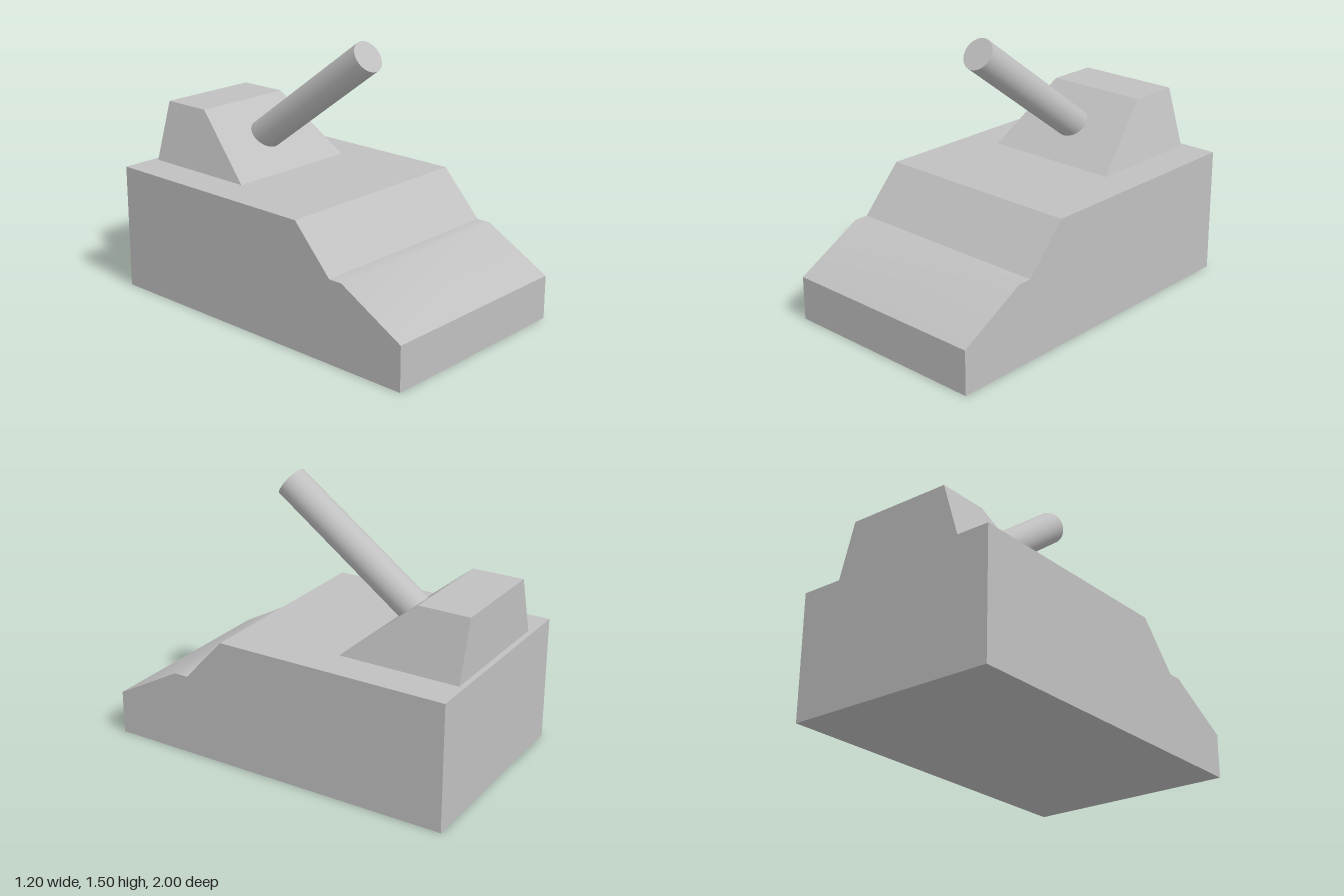
import * as THREE from 'three';
import { toCreasedNormals } from 'three/addons/utils/BufferGeometryUtils.js';

export function createModel() {
  const model = new THREE.Group();
  const grey = new THREE.MeshStandardMaterial({ color: 0xc0c0c0 });
  grey.name = 'plainGrey';

  const add = (name, geometry) => {
    const mesh = new THREE.Mesh(geometry, grey);
    mesh.name = name;
    model.add(mesh);
    return mesh;
  };

  // Hull: side profile (z, y) extruded across the width
  const profile = [[-1, 0], [1, 0], [1, 0.245], [0.62, 0.455], [0.54, 0.455], [0.31, 0.705], [-1, 0.705]];
  const shape = new THREE.Shape(profile.map(([z, y]) => new THREE.Vector2(z, y)));
  const hull = new THREE.ExtrudeGeometry(shape, { depth: 1.2, bevelEnabled: false });
  hull.rotateY(-Math.PI / 2).translate(0.6, 0, 0);
  // The shallow bend between nose slope and ledge is smooth, other edges are sharp
  add('hull', toCreasedNormals(hull, THREE.MathUtils.degToRad(35)));

  // Turret: a box whose top is narrower and whose front leans back
  const turret = new THREE.BoxGeometry(1, 1, 1);
  const p = turret.attributes.position;
  for (let i = 0; i < p.count; i++) {
    const top = p.getY(i) > 0;
    const front = p.getZ(i) > 0;
    p.setXYZ(i,
      Math.sign(p.getX(i)) * (top ? 0.298 : 0.397) + 0.003,
      top ? 1.03 : 0.705,
      front ? (top ? -0.68 : -0.29) : -0.97);
  }
  turret.computeVertexNormals();
  add('turret', turret);

  // Gun barrel: raised cylinder rooted inside the turret
  const muzzle = new THREE.Vector3(-0.01, 1.425, 0.264);
  const direction = new THREE.Vector3(0, 0.592, 0.806).normalize();
  const length = 1.05;
  const barrel = add('gunBarrel', new THREE.CylinderGeometry(0.09, 0.09, length, 48));
  barrel.quaternion.setFromUnitVectors(new THREE.Vector3(0, 1, 0), direction);
  barrel.position.copy(muzzle).addScaledVector(direction, -length / 2);

  return model;
}
